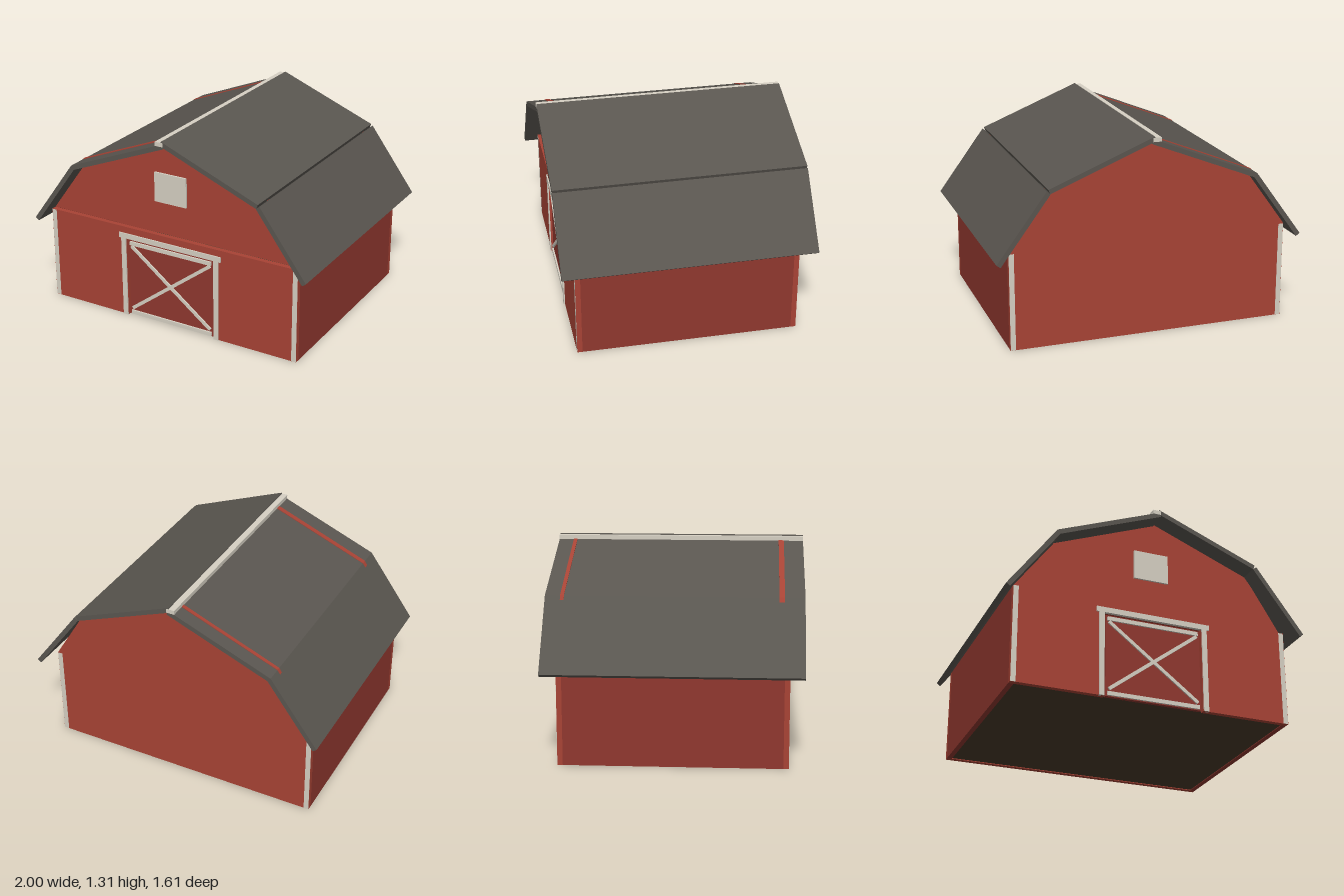
import * as THREE from 'three';

const paint = (color) => new THREE.MeshStandardMaterial({ color, flatShading: true, side: THREE.DoubleSide });

export function createModel() {
  const barn = new THREE.Group();
  barn.name = 'barn';
  const red = paint(0xa84335), darkRed = paint(0x90382f), roofing = paint(0x5a5650);
  const trim = paint(0xd6d0c3), earth = paint(0x4a3a2a);

  const add = (name, geometry, material) => {
    const mesh = new THREE.Mesh(geometry, material);
    mesh.name = name;
    barn.add(mesh);
    return mesh;
  };
  // Box given by its minimum and maximum on each axis
  const box = (name, material, x0, x1, y0, y1, z0, z1) => {
    const mesh = add(name, new THREE.BoxGeometry(x1 - x0, y1 - y0, z1 - z0), material);
    mesh.position.set((x0 + x1) / 2, (y0 + y1) / 2, (z0 + z1) / 2);
    return mesh;
  };
  // Outline in the xy plane, extruded from z0 to z1
  const panel = (name, material, points, z0, z1) => {
    const shape = new THREE.Shape(points.map(([x, y]) => new THREE.Vector2(x, y)));
    const geometry = new THREE.ExtrudeGeometry(shape, { depth: z1 - z0, bevelEnabled: false });
    return add(name, geometry.translate(0, 0, z0), material);
  };

  const L = -0.928, R = 0.902, C = -0.013, eave = 0.632;

  // Walls: the front one is notched for the door
  panel('frontWall', red, [[L, 0], [C - 0.325, 0], [C - 0.325, 0.555], [C + 0.325, 0.555],
    [C + 0.325, 0], [R, 0], [R, eave], [L, eave]], 0.68, 0.713);
  box('backWall', red, L, R, 0, eave, -0.708, -0.675);
  box('leftWall', darkRed, R - 0.033, R, 0, eave, -0.675, 0.68);
  box('rightWall', darkRed, L, L + 0.033, 0, eave, -0.675, 0.68);
  box('floor', earth, L + 0.033, R - 0.033, 0.005, 0.03, -0.675, 0.68);

  // Gables: their tops show just above the right upper roof slope
  const gable = [[L, eave], [R, eave], [0.662, 1.02], [C, 1.291], [-0.687, 1.02]];
  panel('frontGable', red, gable, 0.644, 0.678);
  panel('backGable', red, gable, -0.708, -0.685);
  panel('backGableInner', red, gable, -0.718 + 0.01, -0.684);

  // Corner boards, almost flush with the end walls
  for (const [x0, x1] of [[L + 0.001, L + 0.034], [R - 0.034, R - 0.001]]) {
    box('frontCornerBoard', trim, x0, x1, 0.001, eave - 0.002, 0.70, 0.7135);
    box('backCornerBoard', trim, x0, x1, 0.001, eave - 0.002, -0.709, -0.69);
  }

  // Roof slabs: each from its upper edge down to its lower edge, thickened inward
  const slab = (name, [x0, y0], [x1, y1]) => {
    const t = 0.031, len = Math.hypot(x1 - x0, y1 - y0), side = Math.sign(x1 - x0);
    const nx = side * (y1 - y0) / len * t, ny = -Math.abs(x1 - x0) / len * t;
    panel(name, roofing, [[x0, y0], [x1, y1], [x1 + nx, y1 + ny], [x0 + nx, y0 + ny]], -0.803, 0.803);
  };
  slab('rightUpperRoof', [0.0, 1.291], [-0.686, 1.017]);
  slab('rightLowerRoof', [-0.686, 1.017], [-1.0, 0.588]);
  slab('leftUpperRoof', [0.0, 1.31], [0.672, 1.042]);
  slab('leftLowerRoof', [0.683, 1.032], [1.0, 0.604]);
  box('ridgeCap', trim, -0.043, 0.012, 1.276, 1.303, -0.804, 0.804);

  // Loft window
  box('loftWindow', trim, C - 0.116, C + 0.116, 0.85, 1.048, 0.67, 0.69);

  // Barn door with frame, rails and crossed braces
  box('door', darkRed, C - 0.316, C + 0.316, 0.005, 0.545, 0.675, 0.70);
  for (const s of [-1, 1]) {
    const x = C + s * 0.345;
    box('doorPost', trim, x - 0.017, x + 0.017, 0, 0.555, 0.70, 0.721);
    const brace = add('doorBrace', new THREE.BoxGeometry(Math.hypot(0.59, 0.45), 0.022, 0.012), trim);
    brace.position.set(C, 0.277, 0.704 + s * 0.0005);
    brace.rotation.z = s * Math.atan2(0.45, 0.59);
  }
  box('doorLintel', trim, C - 0.379, C + 0.379, 0.553, 0.588, 0.70, 0.721);
  for (const y of [0.023, 0.521]) box('doorRail', trim, C - 0.304, C + 0.304, y - 0.013, y + 0.013, 0.698, 0.711);

  return barn;
}
